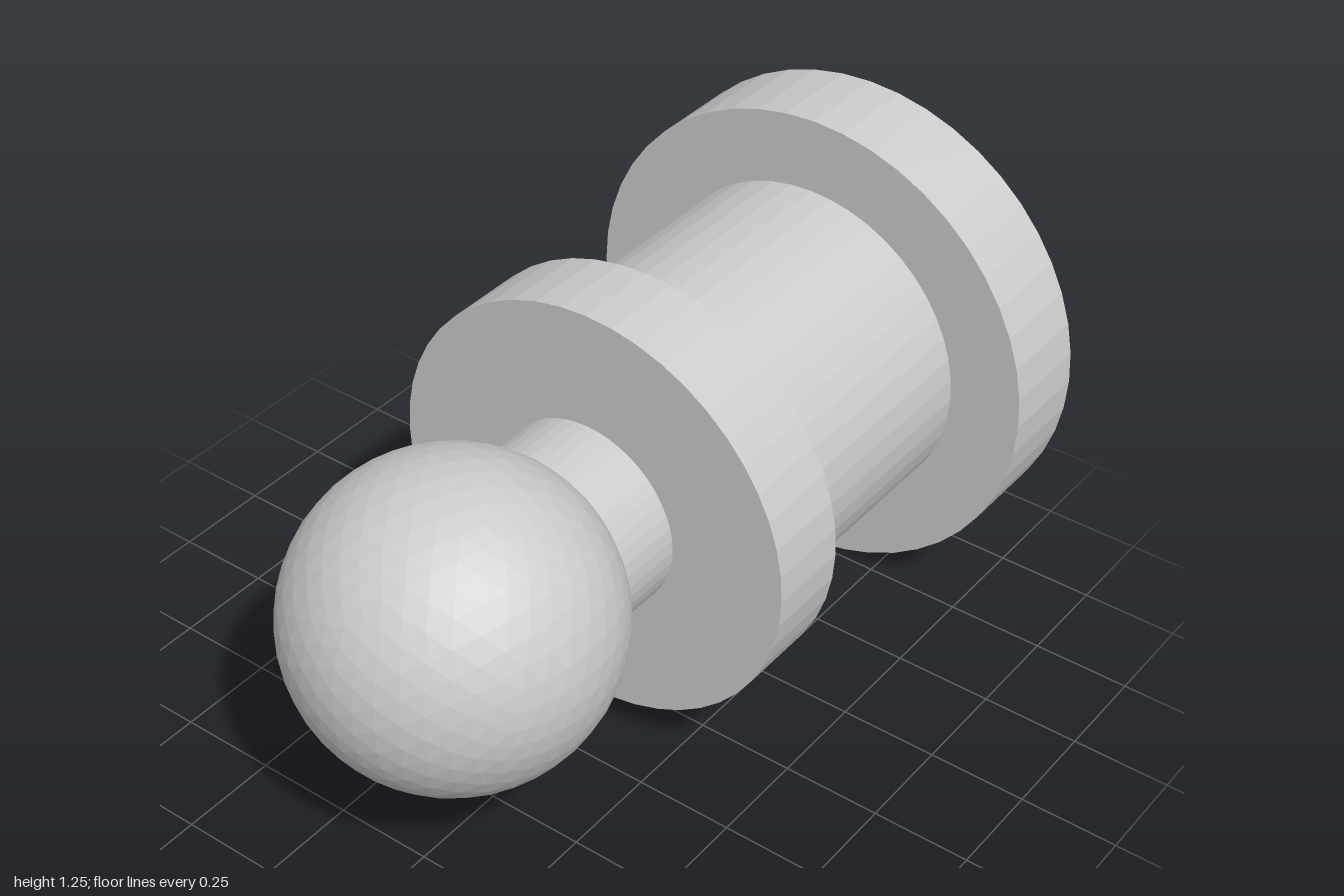
import * as THREE from 'three';

const AXIS_Y = 0.627; // height of the shared axis, which runs along z

export function createModel() {
  const group = new THREE.Group();
  const material = new THREE.MeshStandardMaterial({ color: 0xcccccc, flatShading: true });

  function add(name, geometry, z) {
    const mesh = new THREE.Mesh(geometry, material);
    mesh.name = name;
    mesh.position.set(0, AXIS_Y, z);
    group.add(mesh);
  }

  // Coaxial discs and shafts, from the back plate to the neck
  const sections = [
    // name, radius, back z, front z
    ['basePlate', 0.625, -1, -0.755],
    ['body', 0.434, -0.755, -0.087],
    ['collar', 0.543, -0.087, 0.128],
    ['neck', 0.244, 0.128, 0.33],
  ];
  for (const [name, radius, back, front] of sections) {
    const geometry = new THREE.CylinderGeometry(radius, radius, front - back, 48);
    add(name, geometry.rotateX(Math.PI / 2), (back + front) / 2);
  }

  // Faceted ball at the front
  add('ball', new THREE.IcosahedronGeometry(0.393, 7), 0.607);

  return group;
}
